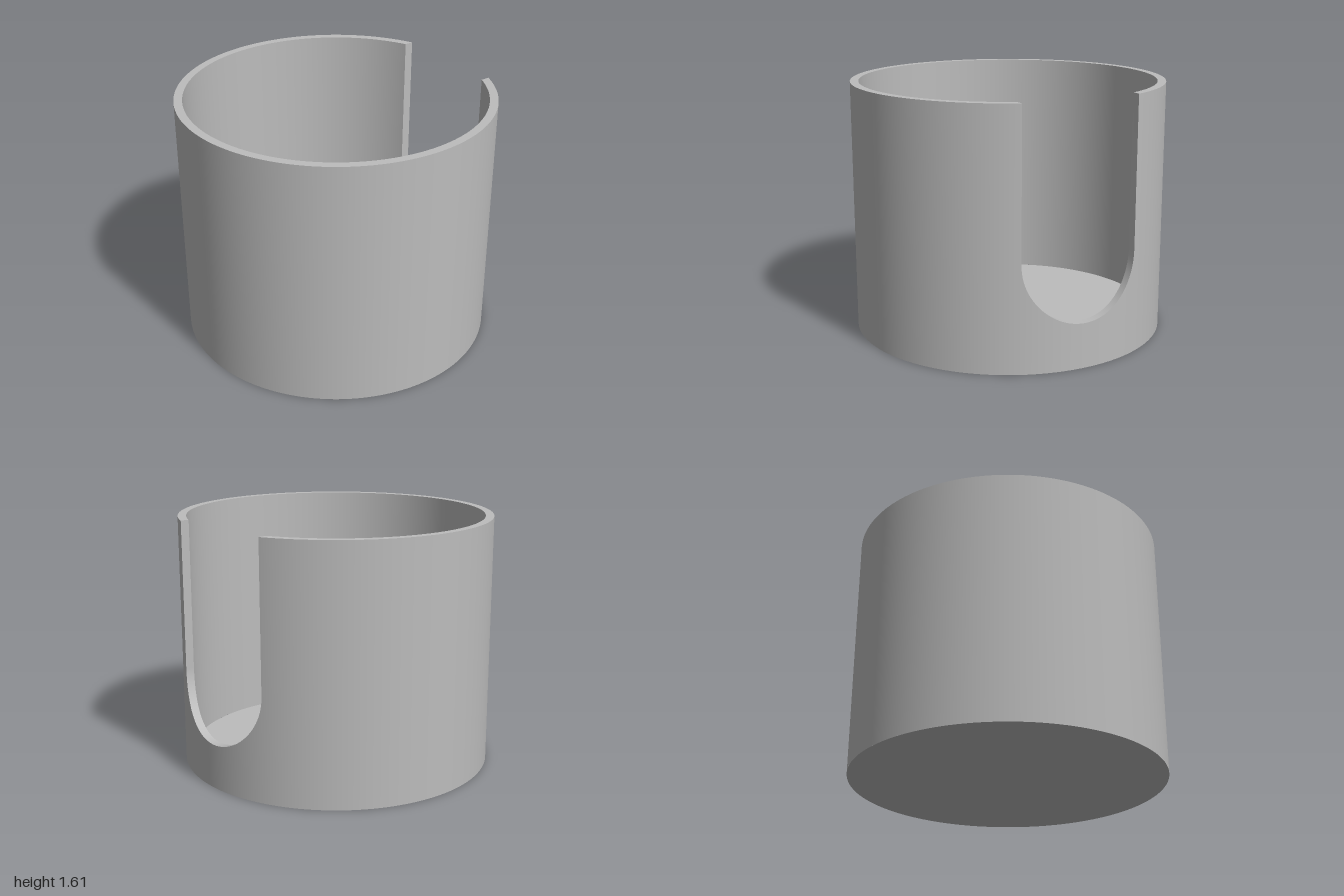
import * as THREE from 'three';

const HEIGHT = 1.605, OUTER = 1, INNER = 0.947, FLOOR = 0.053;
const SLOT = 0.383, SLOT_Y = 0.666; // slot half width and centre height of its round end

// Surface between two rows of points, smooth along its length
function strip(lower, upper, radialSign = 0) {
  const points = [...lower, ...upper], n = lower.length, index = [];
  for (let i = 0; i < n - 1; i++) {
    index.push(i, n + i, i + 1, n + i, n + i + 1, i + 1);
  }
  const geometry = new THREE.BufferGeometry().setFromPoints(points);
  geometry.setIndex(index);
  if (radialSign) {
    const normals = points.flatMap((p) => {
      const r = Math.hypot(p.x, p.z) * radialSign;
      return [p.x / r, 0, p.z / r];
    });
    geometry.setAttribute('normal', new THREE.Float32BufferAttribute(normals, 3));
  } else {
    geometry.computeVertexNormals();
  }
  return geometry;
}

// Points around the wall, from one side of the slot to the other
function arcRow(radius, y, segments = 144) {
  const start = Math.asin(SLOT / radius);
  return Array.from({ length: segments + 1 }, (_, i) => {
    const t = start + (i / segments) * (2 * Math.PI - 2 * start);
    return new THREE.Vector3(radius * Math.cos(t), y, radius * Math.sin(t));
  });
}

// Half circle of the slot's lower end, projected onto a wall of the given radius
function slotRow(radius, y, segments = 48) {
  return Array.from({ length: segments + 1 }, (_, i) => {
    const t = (i / segments) * Math.PI;
    const z = -SLOT * Math.cos(t);
    return new THREE.Vector3(Math.sqrt(radius * radius - z * z), y ?? SLOT_Y - SLOT * Math.sin(t), z);
  });
}

// Whole U of the slot, including its straight sides
function slotPath(radius) {
  const row = slotRow(radius);
  const first = row[0].clone().setY(HEIGHT), last = row[row.length - 1].clone().setY(HEIGHT);
  return [first, ...row, last];
}

export function createModel() {
  const group = new THREE.Group();
  group.name = 'slottedCup';
  const grey = new THREE.MeshStandardMaterial({ color: 0xbcbcbc });
  grey.name = 'grey';

  const add = (name, geometry) => {
    const mesh = new THREE.Mesh(geometry, grey);
    mesh.name = name;
    group.add(mesh);
    return mesh;
  };

  // Full-height wall
  add('outerWall', strip(arcRow(OUTER, 0), arcRow(OUTER, HEIGHT), 1));
  add('innerWall', strip(arcRow(INNER, HEIGHT), arcRow(INNER, FLOOR), -1));
  add('topRim', strip(arcRow(OUTER, HEIGHT), arcRow(INNER, HEIGHT)));

  // Wall below the slot and the cut faces of the slot
  add('outerWallUnderSlot', strip(slotRow(OUTER, 0), slotRow(OUTER), 1));
  add('innerWallUnderSlot', strip(slotRow(INNER), slotRow(INNER, FLOOR), -1));
  add('slotEdge', strip(slotPath(OUTER), slotPath(INNER)));

  // Floor inside and base underneath
  const floor = add('floor', new THREE.CircleGeometry(INNER, 144));
  floor.rotation.x = -Math.PI / 2;
  floor.position.y = FLOOR;
  const base = add('base', new THREE.CircleGeometry(OUTER, 144));
  base.rotation.x = Math.PI / 2;

  return group;
}
